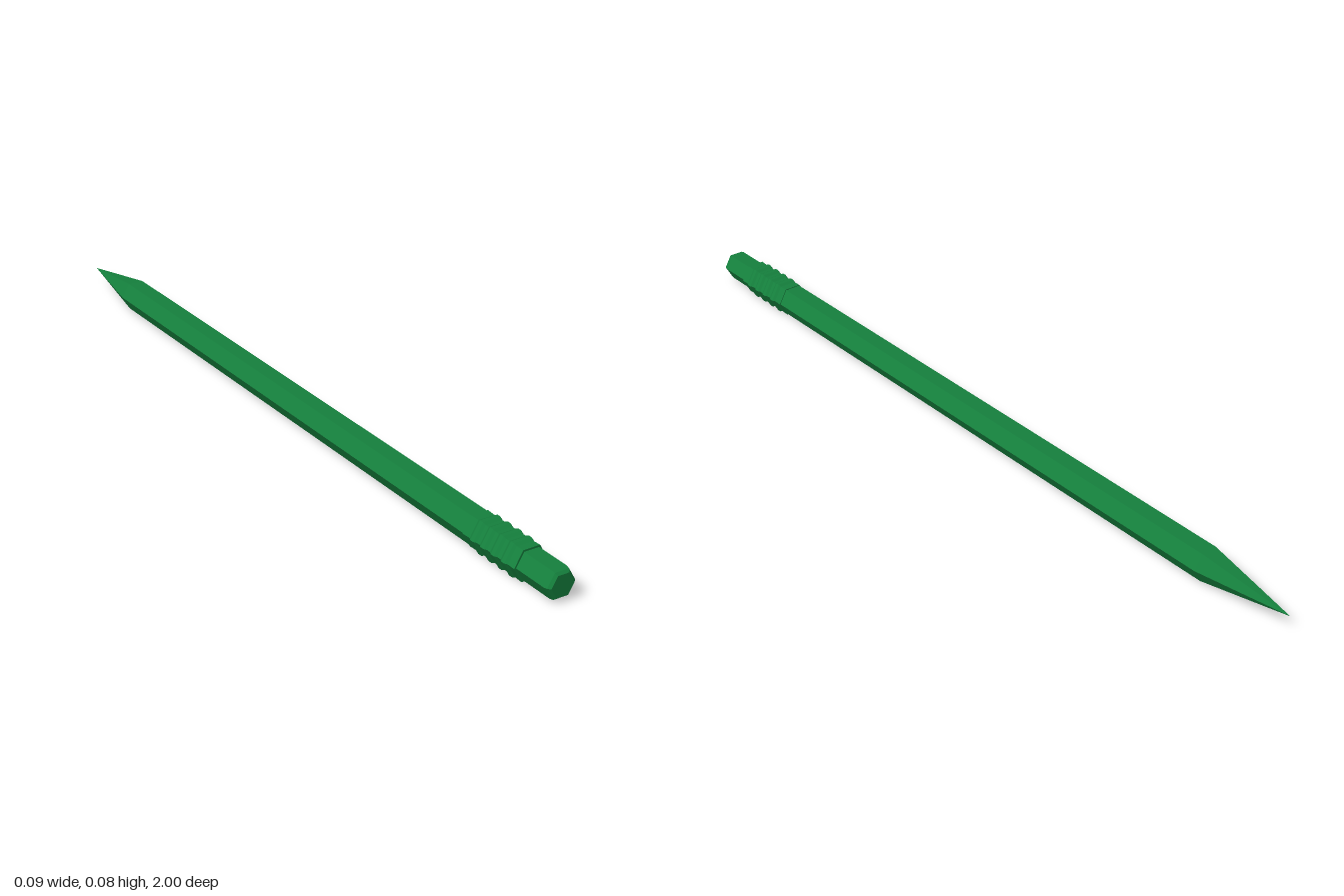
import * as THREE from 'three';

const AXIS_Y = 0.039;
const material = new THREE.MeshStandardMaterial({ color: 0x15803d, flatShading: true });

// Six-sided part along z from [radius, z] pairs, listed from back to front
function hexPart(name, profile) {
  const points = profile.map(([r, z]) => new THREE.Vector2(r, z));
  const geometry = new THREE.LatheGeometry(points, 6, Math.PI / 6);
  geometry.rotateX(Math.PI / 2);
  const mesh = new THREE.Mesh(geometry, material);
  mesh.name = name;
  mesh.position.y = AXIS_Y;
  return mesh;
}

export function createModel() {
  const group = new THREE.Group();
  group.name = 'pencil';

  // Sharpened end: lead point and wooden cone
  group.add(hexPart('leadTip', [[0, -1], [0.01, -0.943]]));
  group.add(hexPart('sharpenedWood', [[0.01, -0.943], [0.04, -0.77]]));

  // Straight barrel
  group.add(hexPart('barrel', [[0.04, -0.77], [0.04, 0.74]]));

  // Ferrule: a sleeve with raised ridges
  const ferrule = [[0.039, 0.73], [0.042, 0.73]];
  for (let i = 0; i < 4; i++) {
    const z = 0.765 + i * 0.034;
    ferrule.push([0.041, z - 0.012], [0.045, z - 0.005], [0.045, z + 0.005], [0.041, z + 0.012]);
  }
  ferrule.push([0.042, 0.9], [0.035, 0.9]);
  group.add(hexPart('ferrule', ferrule));

  // Eraser with a bevelled end
  group.add(hexPart('eraser', [[0.037, 0.89], [0.037, 0.985], [0.035, 0.994], [0.029, 1], [0, 1]]));

  return group;
}
